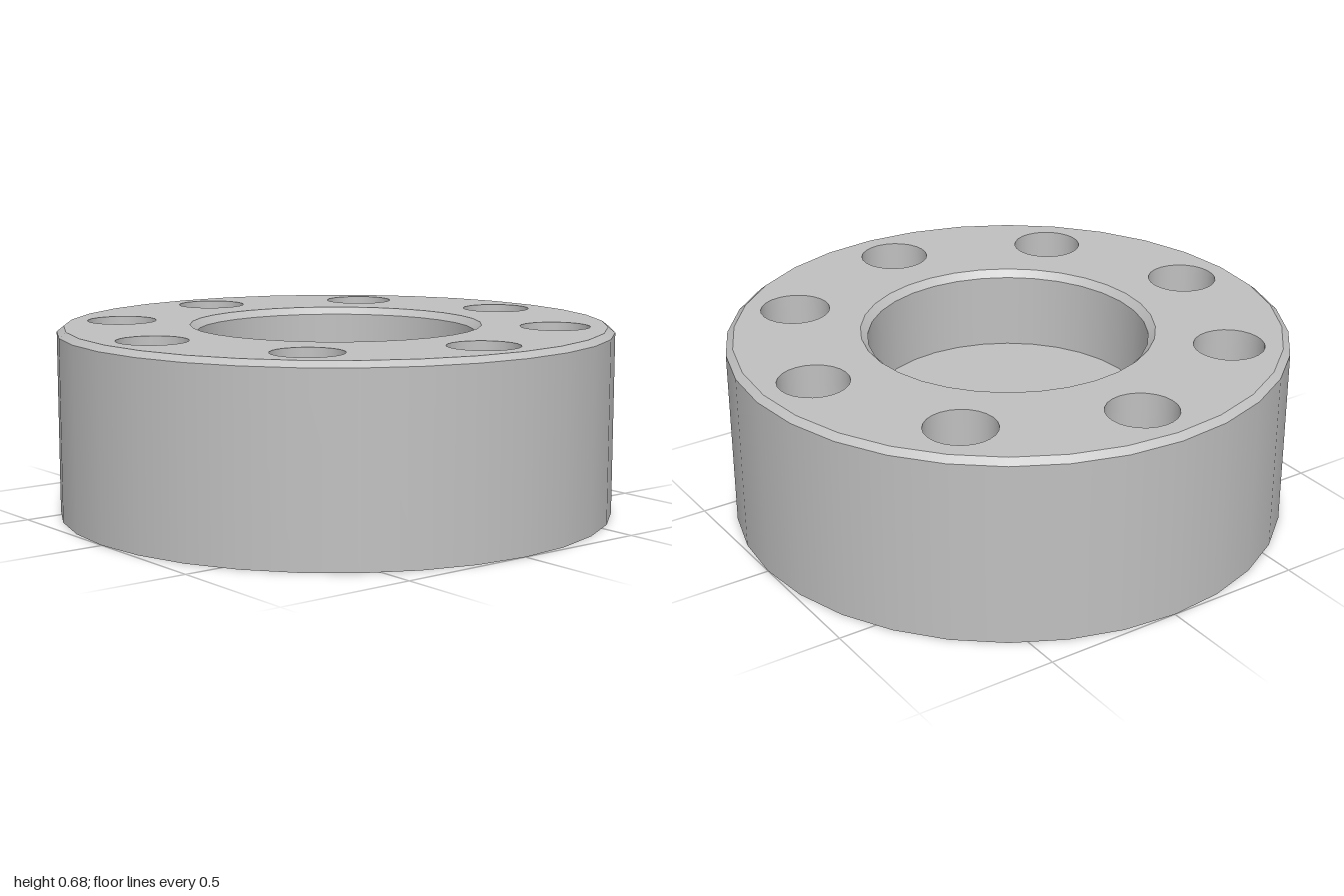
import * as THREE from 'three';

const HEIGHT = 0.675, RIM = 0.975, BORE_RIM = 0.525, FLOOR = 0.375;
const HOLES = 8, HOLE_RING = 0.787, HOLE_R = 0.125;
const BODY_SIDES = 32, BORE_SIDES = 32, HOLE_SIDES = 24;

// Closed ring of points, matching the divisions of the turned surfaces
function ring(radius, sides, cx = 0, cy = 0) {
  return Array.from({ length: sides }, (_, i) => {
    const a = (i / sides) * Math.PI * 2;
    return new THREE.Vector2(cx + radius * Math.cos(a), cy + radius * Math.sin(a));
  });
}

export function createModel() {
  const model = new THREE.Group();
  model.name = 'drilledDisc';
  const metal = new THREE.MeshStandardMaterial({ color: 0xc0c0c0 });
  metal.name = 'grey metal';

  // Each profile span is its own surface, so the edges between spans stay sharp
  function turned(name, profile, sides, parent = model) {
    const group = new THREE.Group();
    group.name = name;
    for (let i = 0; i + 1 < profile.length; i++) {
      const span = [profile[i], profile[i + 1]].map(([r, y]) => new THREE.Vector2(r, y));
      const mesh = new THREE.Mesh(new THREE.LatheGeometry(span, sides), metal);
      mesh.name = name + 'Surface';
      group.add(mesh);
    }
    parent.add(group);
    return group;
  }

  // Underside, outer wall and chamfer
  turned('outerBody', [[0, 0], [1, 0], [1, 0.655], [RIM, HEIGHT]], BODY_SIDES);

  // Chamfered central recess with a flat floor
  turned('centralRecess',
    [[BORE_RIM, HEIGHT], [0.5, HEIGHT - 0.025], [0.5, FLOOR], [0, FLOOR]], BORE_SIDES);

  // Top face, with openings for the recess and the holes
  const face = new THREE.Shape(ring(RIM, BODY_SIDES));
  face.holes.push(new THREE.Path(ring(BORE_RIM, BORE_SIDES)));

  // Ring of blind holes with drilled, conical ends
  for (let i = 0; i < HOLES; i++) {
    const a = (i / HOLES) * Math.PI * 2;
    const x = HOLE_RING * Math.cos(a), z = HOLE_RING * Math.sin(a);
    face.holes.push(new THREE.Path(ring(HOLE_R, HOLE_SIDES, x, -z)));
    const hole = turned('blindHole',
      [[HOLE_R, HEIGHT], [HOLE_R, FLOOR], [0, FLOOR - 0.072]], HOLE_SIDES);
    hole.position.set(x, 0, z);
  }

  const top = new THREE.Mesh(new THREE.ShapeGeometry(face), metal);
  top.name = 'topFace';
  top.rotation.x = -Math.PI / 2;
  top.position.y = HEIGHT;
  model.add(top);

  return model;
}
